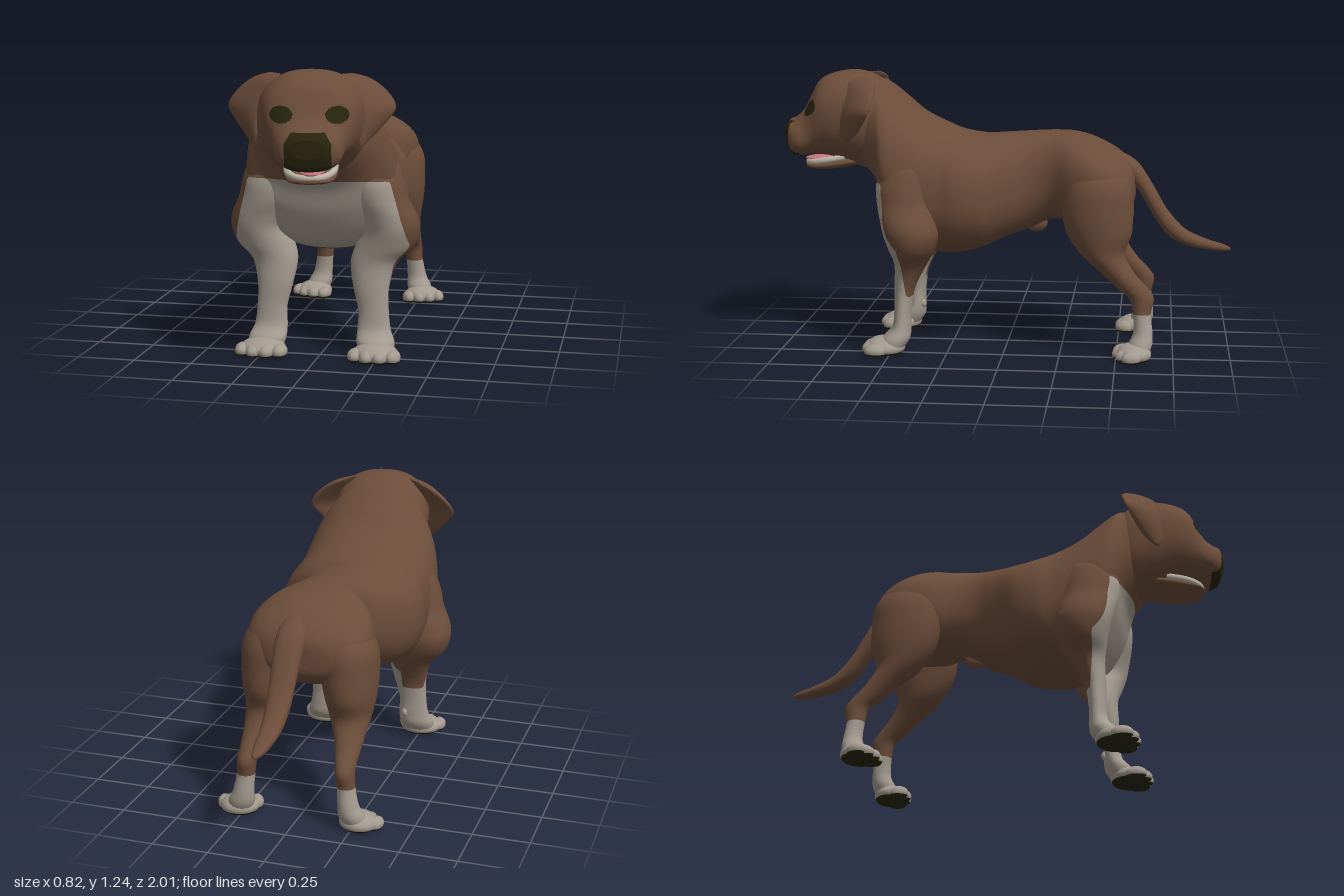
import * as THREE from 'three';

const mat = (name, color) => Object.assign(new THREE.MeshStandardMaterial({ color }), { name });

// Cross-section across z. Row: [z, top, bottom, halfWidth, egg]; egg > 0 widens the top.
const power = v => Math.sign(v) * Math.abs(v) ** 0.87;
const zRing = (cx = 0) => ([z, top, bottom, w, egg], t, r) => {
  const s = power(Math.sin(t)) * r;
  return [cx + w * power(Math.cos(t)) * r * (1 + egg * s), (top + bottom) / 2 + s * (top - bottom) / 2, z];
};
// Horizontal cross-section. Row: [y, cx, cz, halfWidth, halfDepth]
const yRing = ([y, cx, cz, w, d], t, r) => [cx + w * r * Math.cos(t), y, cz + d * r * Math.sin(t)];
// Thin slanted cross-section. Row: [y, cx, cz, halfX, halfZ, halfThickness]
const flapRing = ([y, cx, cz, hx, hz, th], t, r) => {
  const l = Math.hypot(hx, hz), c = r * Math.cos(t), s = r * th * Math.sin(t) / l;
  return [cx + hx * c - hz * s, y, cz + hz * c + hx * s];
};

// Smooth closed skin through the cross-sections; side -1 mirrors it in x.
function loft(rows, ring, side = 1, steps = 7, sides = 56) {
  const row = i => rows[Math.min(Math.max(i, 0), rows.length - 1)];
  const dense = [];
  for (let i = 0; i < rows.length - 1; i++) {
    for (let k = 0; k < steps; k++) {
      const u = k / steps;
      dense.push(rows[i].map((b, c) => {
        const a = row(i - 1)[c], d = row(i + 1)[c], e = row(i + 2)[c];
        return b + 0.5 * u * (d - a + u * (2 * a - 5 * b + 4 * d - e + u * (3 * (b - d) + e - a)));
      }));
    }
  }
  dense.push(row(rows.length));
  const rings = [[dense[0], 0], ...dense.map(d => [d, 1]), [dense.at(-1), 0]];
  const pos = [], index = [];
  rings.forEach(([d, r], i) => {
    for (let j = 0; j < sides; j++) {
      const [x, y, z] = ring(d, j / sides * Math.PI * 2, r);
      pos.push(x * side, y, z);
      if (i === rings.length - 1) continue;
      const a = i * sides + j, b = i * sides + (j + 1) % sides, c = a + sides, e = b + sides;
      index.push(...(side > 0 ? [a, b, c, b, e, c] : [a, c, b, b, c, e]));
    }
  });
  const geo = new THREE.BufferGeometry();
  geo.setAttribute('position', new THREE.Float32BufferAttribute(pos, 3));
  geo.setIndex(index);
  geo.computeVertexNormals();
  return geo;
}

// Cuts the surface cleanly where f(x, y, z) = 0; the positive side takes the second material.
function paint(geo, f) {
  const g = geo.toNonIndexed(), P = g.attributes.position, N = g.attributes.normal;
  const pos = [], nor = [], out = new THREE.BufferGeometry();
  [-1, 1].forEach((sign, m) => {
    const start = pos.length / 3;
    for (let i = 0; i < P.count; i += 3) {
      const v = [0, 1, 2].map(k => {
        const p = new THREE.Vector3().fromBufferAttribute(P, i + k);
        return { p, n: new THREE.Vector3().fromBufferAttribute(N, i + k), d: f(p.x, p.y, p.z) * sign };
      });
      const poly = [];
      v.forEach((a, k) => {
        const b = v[(k + 1) % 3], u = a.d / (a.d - b.d);
        if (a.d >= 0) poly.push(a);
        if (a.d * b.d < 0) poly.push({ p: a.p.clone().lerp(b.p, u), n: a.n.clone().lerp(b.n, u).normalize() });
      });
      for (let k = 1; k < poly.length - 1; k++) {
        for (const q of [poly[0], poly[k], poly[k + 1]]) {
          pos.push(...q.p.toArray());
          nor.push(...q.n.toArray());
        }
      }
    }
    out.addGroup(start, pos.length / 3 - start, m);
  });
  out.setAttribute('position', new THREE.Float32BufferAttribute(pos, 3));
  out.setAttribute('normal', new THREE.Float32BufferAttribute(nor, 3));
  return out;
}

const ball = (x, y, z, rx, ry, rz) => new THREE.SphereGeometry(1, 24, 16).scale(rx, ry, rz).translate(x, y, z);

export function createModel() {
  const brown = mat('brown coat', 0x6c4d3a), white = mat('pale coat', 0xa39a8f);
  const dark = mat('dark nose and pads', 0x27250d), pink = mat('tongue', 0xc4757c), ivory = mat('teeth', 0xbdb6a8);
  const model = new THREE.Group();
  const add = (parent, name, geo, material) => {
    const mesh = new THREE.Mesh(geo, material);
    mesh.name = name;
    parent.add(mesh);
  };

  // Pale bib over the chest and the front of the forelegs, reaching further back between them
  const bib = (x, y, z) => Math.min(
    0.77 - y, 0.505 - 0.26 * y - Math.abs(x),
    Math.max(z - 0.43 - 0.12 * (y - 0.3), Math.min(z - 0.37, 0.18 - Math.abs(x))));

  // Trunk and neck
  add(model, 'body', paint(loft([
    [-0.575, 0.79, 0.69, 0.07, 0], [-0.56, 0.83, 0.65, 0.16, 0], [-0.5, 0.89, 0.6, 0.245, 0.06],
    [-0.4, 0.945, 0.575, 0.275, 0.06], [-0.3, 0.975, 0.575, 0.25, 0.03], [-0.2, 0.98, 0.58, 0.188, 0],
    [-0.1, 0.975, 0.535, 0.182, 0], [0, 0.968, 0.5, 0.235, 0], [0.1, 0.962, 0.455, 0.31, 0],
    [0.2, 0.978, 0.43, 0.335, 0], [0.28, 1.01, 0.425, 0.325, -0.03], [0.38, 1.062, 0.45, 0.325, -0.06],
    [0.46, 1.13, 0.5, 0.322, -0.12], [0.53, 1.185, 0.62, 0.3, -0.14], [0.575, 1.205, 0.74, 0.25, -0.1],
    [0.66, 1.19, 0.83, 0.18, 0],
  ], zRing()), bib), [brown, white]);
  add(model, 'bellyFold', ball(0, 0.56, -0.13, 0.03, 0.045, 0.05), brown);

  // Tail, from tip to root
  add(model, 'tail', loft([
    [-1, 0.465, 0.455, 0.005, 0], [-0.97, 0.48, 0.45, 0.022, 0], [-0.9, 0.5, 0.455, 0.035, 0],
    [-0.8, 0.545, 0.475, 0.045, 0], [-0.72, 0.63, 0.52, 0.052, 0], [-0.66, 0.73, 0.6, 0.057, 0],
    [-0.6, 0.825, 0.7, 0.062, 0], [-0.55, 0.87, 0.76, 0.065, 0], [-0.47, 0.905, 0.8, 0.06, 0],
    [-0.4, 0.93, 0.85, 0.04, 0],
  ], zRing(0.035), 1, 7, 28), brown);

  // Paw: pad and four toes, flattened on the ground with dark soles
  const paw = (name, x, z, yaw, k) => {
    const foot = new THREE.Group();
    foot.name = name;
    foot.position.set(x, 0, z);
    foot.rotation.y = yaw;
    const piece = (part, geo) => {
      const p = geo.attributes.position;
      for (let i = 0; i < p.count; i++) p.setY(i, Math.max(p.getY(i), 0.004));
      add(foot, part, paint(geo, (px, py) => 0.014 - py), [white, dark]);
    };
    piece('pad', ball(0, 0.03, 0, 0.098 * k, 0.046, 0.088 * k));
    [-0.08, -0.028, 0.028, 0.08].forEach(t =>
      piece('toe', ball(t * k, 0.026, (0.062 - Math.abs(t) * 0.35) * k, 0.034 * k, 0.031, 0.05 * k)));
    model.add(foot);
  };

  for (const s of [1, -1]) {
    const side = s > 0 ? 'left' : 'right';
    // Shoulder and foreleg
    add(model, side + 'FrontLeg', paint(loft([
      [0.9, 0.18, 0.4, 0.06, 0.07], [0.84, 0.205, 0.42, 0.11, 0.115], [0.76, 0.228, 0.43, 0.12, 0.13],
      [0.68, 0.245, 0.425, 0.122, 0.13], [0.6, 0.278, 0.41, 0.126, 0.125], [0.54, 0.288, 0.4, 0.122, 0.12],
      [0.47, 0.26, 0.4, 0.125, 0.1], [0.4, 0.217, 0.413, 0.1, 0.072], [0.3, 0.21, 0.44, 0.078, 0.047],
      [0.2, 0.222, 0.449, 0.066, 0.038], [0.12, 0.226, 0.455, 0.072, 0.042], [0.07, 0.236, 0.478, 0.082, 0.062],
      [0.03, 0.242, 0.49, 0.075, 0.05],
    ], yRing, s), (x, y, z) => Math.max(0.26 - y, bib(x, y, z))), [brown, white]);
    add(model, side + 'Dewclaw', ball(s * 0.19, 0.125, 0.42, 0.015, 0.02, 0.015), white);
    paw(side + 'FrontPaw', s * 0.245, 0.525, 0, 1);

    // Thigh, hock and hind pastern
    add(model, side + 'HindLeg', paint(loft([
      [0.88, 0.13, -0.39, 0.05, 0.06], [0.83, 0.15, -0.4, 0.1, 0.12], [0.75, 0.168, -0.41, 0.128, 0.15],
      [0.65, 0.178, -0.41, 0.125, 0.155], [0.55, 0.185, -0.42, 0.112, 0.143], [0.46, 0.19, -0.435, 0.092, 0.1],
      [0.38, 0.205, -0.5, 0.065, 0.075], [0.31, 0.215, -0.57, 0.048, 0.068], [0.265, 0.22, -0.61, 0.042, 0.054],
      [0.2, 0.226, -0.612, 0.04, 0.04], [0.12, 0.237, -0.618, 0.046, 0.042], [0.07, 0.25, -0.608, 0.058, 0.052],
      [0.03, 0.262, -0.6, 0.055, 0.045],
    ], yRing, s), (x, y) => 0.2 - y), [brown, white]);
    paw(side + 'HindPaw', s * 0.27, -0.578, s * 0.3, 0.88);
  }

  // Head, turned slightly to its left
  const head = new THREE.Group();
  head.name = 'head';
  head.position.z = 0.62;
  head.rotation.y = 0.17;
  model.add(head);
  const faceMarks = (x, y, z) => Math.max(
    Math.min(z - 0.325, 1.022 - y, 0.092 - Math.abs(x) - 0.6 * Math.max(0, y - 0.98)),
    Math.min(1 - ((Math.abs(x) - 0.112) / 0.046) ** 2 - ((y - 1.083) / 0.033) ** 2, z - 0.1));
  add(head, 'skull', paint(loft([
    [-0.12, 1.14, 0.82, 0.18, 0], [-0.04, 1.213, 0.79, 0.22, 0], [0.05, 1.243, 0.81, 0.225, 0.05],
    [0.12, 1.24, 0.84, 0.215, 0.06], [0.19, 1.222, 0.86, 0.197, 0.05], [0.235, 1.19, 0.865, 0.175, 0.04],
    [0.268, 1.13, 0.866, 0.152, 0], [0.3, 1.07, 0.864, 0.138, -0.08], [0.335, 1.035, 0.864, 0.13, -0.06],
    [0.365, 1.022, 0.875, 0.106, 0], [0.384, 0.995, 0.92, 0.06, 0.05],
  ], zRing(), 1, 12, 96), faceMarks), [brown, dark]);

  // Open mouth
  add(head, 'lowerJaw', loft([
    [0.05, 0.87, 0.82, 0.11, 0], [0.15, 0.858, 0.803, 0.108, 0], [0.22, 0.842, 0.8, 0.098, 0],
    [0.27, 0.832, 0.804, 0.078, 0], [0.295, 0.826, 0.812, 0.04, 0],
  ], zRing()), brown);
  add(head, 'lowerTeeth', new THREE.TubeGeometry(new THREE.CatmullRomCurve3([
    [-0.097, 0.86, 0.12], [-0.09, 0.845, 0.21], [-0.055, 0.834, 0.268], [0, 0.831, 0.284],
    [0.055, 0.834, 0.268], [0.09, 0.845, 0.21], [0.097, 0.86, 0.12],
  ].map(p => new THREE.Vector3(...p))), 40, 0.014, 8), ivory);
  add(head, 'tongue', ball(0.005, 0.847, 0.21, 0.052, 0.016, 0.09), pink);

  // Hanging ears
  const ears = new THREE.Group();
  ears.name = 'ears';
  ears.position.set(-0.008, 0, 0.635);
  ears.rotation.y = 0.06;
  model.add(ears);
  for (const s of [1, -1]) {
    add(ears, s > 0 ? 'leftEar' : 'rightEar', loft([
      [1.222, 0.145, 0.01, 0.03, -0.04, 0.012], [1.2, 0.185, 0.012, 0.055, -0.07, 0.03],
      [1.15, 0.23, 0.018, 0.078, -0.075, 0.03], [1.09, 0.267, 0.03, 0.08, -0.072, 0.024],
      [1.04, 0.262, 0.045, 0.06, -0.062, 0.02], [0.98, 0.235, 0.066, 0.032, -0.042, 0.016],
      [0.942, 0.222, 0.082, 0.008, -0.012, 0.007],
    ], flapRing, s, 7, 36), brown);
  }
  return model;
}
